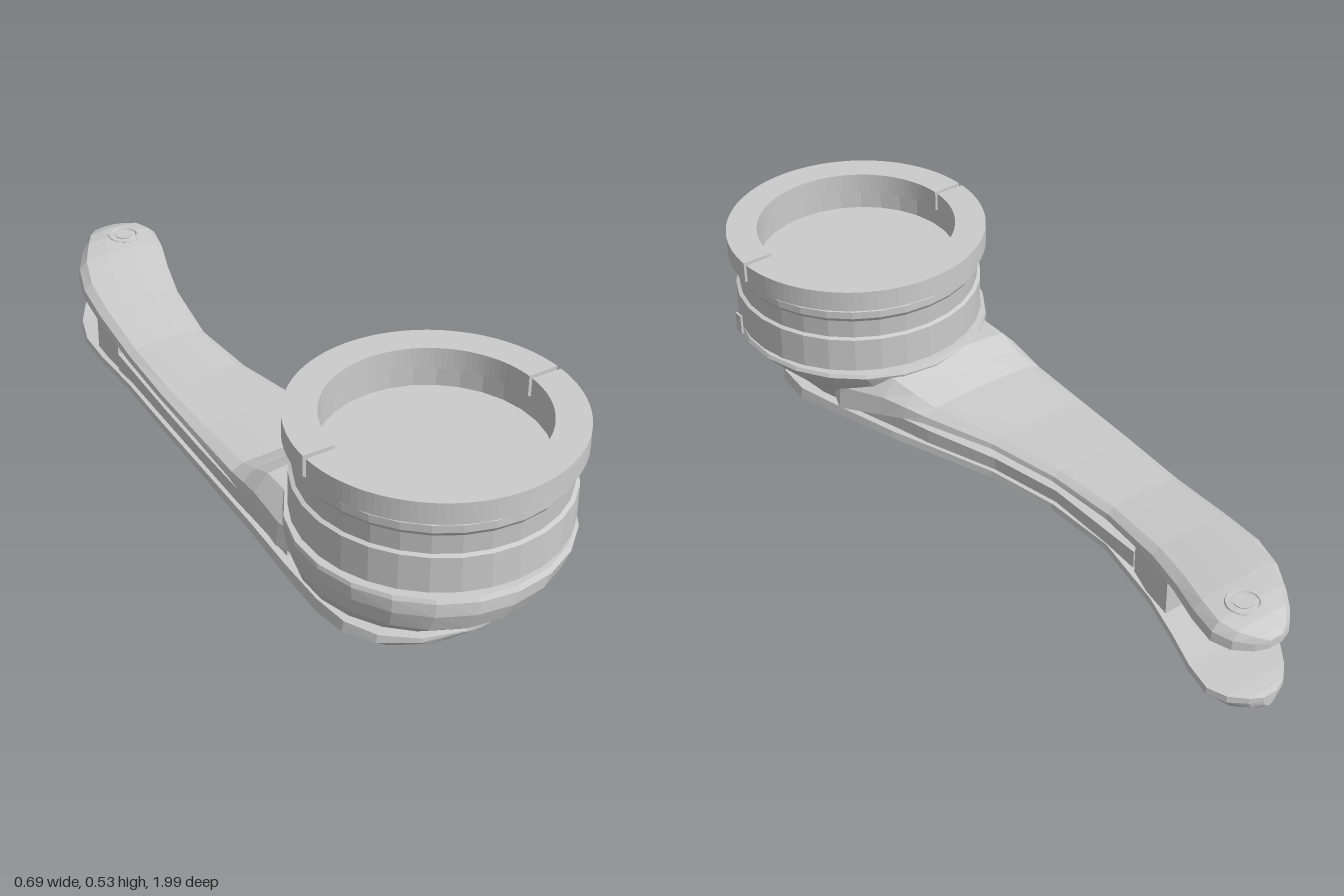
import * as THREE from 'three';

const flat = new THREE.MeshStandardMaterial({ color: 0xcccccc, flatShading: true });
const HEAD_Z = 0.647;

function add(parent, name, geometry, x = 0, y = 0, z = 0) {
  const mesh = new THREE.Mesh(geometry, flat);
  mesh.name = name;
  mesh.position.set(x, y, z);
  parent.add(mesh);
  return mesh;
}

// Sections from the left edge over the crown to the right edge: [across, up]
const ARCH = [[-1, 0], [-0.97, 0.5], [-0.8, 0.9], [-0.3, 1], [0.3, 1], [0.8, 0.9], [0.97, 0.5], [1, 0]];
const KEEL = [[-0.98, 0], [-1, 0.3], [-0.84, 0.62], [-0.45, 0.86], [0, 1], [0.45, 0.9], [0.84, 0.65], [1, 0.3], [0.98, 0]];
const SLAB = [[-1, 0], [-1, 1], [1, 1], [1, 0]];

// Closed loft along -z; stations are [z, left x, right x, edge y, crown y]
function loft(stations, section) {
  const n = section.length, pos = [], index = [];
  const flip = stations[0][4] < stations[0][3];
  const tri = (a, b, c) => (flip ? index.push(a, c, b) : index.push(a, b, c));
  for (const [z, xl, xr, edge, crown] of stations) {
    for (const [u, v] of section) {
      pos.push((xl + xr) / 2 + (u * (xr - xl)) / 2, edge + (crown - edge) * v, z);
    }
  }
  for (let i = 0; i < stations.length - 1; i++) {
    for (let j = 0; j < n; j++) {
      const a = i * n + j, b = i * n + ((j + 1) % n);
      tri(a, b, a + n);
      tri(b, b + n, a + n);
    }
  }
  const last = (stations.length - 1) * n;
  for (let j = 1; j < n - 1; j++) {
    tri(0, j + 1, j);
    tri(last, last + j, last + j + 1);
  }
  const g = new THREE.BufferGeometry();
  g.setAttribute('position', new THREE.Float32BufferAttribute(pos, 3));
  g.setIndex(index);
  g.computeVertexNormals();
  return g;
}

// Stack of offset ellipses, bottom to top: [y, x min, x max, z min, z max]
function ellipseStack(rows, segments) {
  const g = new THREE.LatheGeometry(rows.map((r, i) => new THREE.Vector2(1, i)), segments);
  const p = g.attributes.position;
  for (let i = 0; i < p.count; i++) {
    const [y, x0, x1, z0, z1] = rows[Math.round(p.getY(i))];
    p.setXYZ(i, (x0 + x1) / 2 + (p.getX(i) * (x1 - x0)) / 2, y, (z0 + z1) / 2 + (p.getZ(i) * (z1 - z0)) / 2);
  }
  g.computeVertexNormals();
  return g;
}

// Half of the split clamp ring
function halfRing(inner, outer, height) {
  const gap = 0.02;
  const s = new THREE.Shape();
  s.absarc(0, 0, outer, gap, Math.PI - gap, false);
  s.absarc(0, 0, inner, Math.PI - gap, gap, true);
  const g = new THREE.ExtrudeGeometry(s, { depth: height, bevelEnabled: false, curveSegments: 28 });
  return g.rotateX(-Math.PI / 2);
}

export function createModel() {
  const model = new THREE.Group();
  model.name = 'clampHeadWithHandle';

  // Upper handle shell, rising to the shoulder under the head
  add(model, 'upperHandleShell', loft([
    [0.60, -0.25, 0.15, 0.15, 0.262],
    [0.44, -0.295, 0.215, 0.135, 0.262],
    [0.32, -0.288, 0.16, 0.155, 0.262],
    [0.26, -0.284, 0.135, 0.168, 0.235],
    [0.20, -0.28, 0.11, 0.175, 0.212],
    [0.00, -0.27, 0.04, 0.18, 0.205],
    [-0.20, -0.26, 0.00, 0.18, 0.205],
    [-0.40, -0.245, -0.01, 0.18, 0.21],
    [-0.60, -0.23, 0.02, 0.195, 0.23],
    [-0.72, -0.215, 0.055, 0.205, 0.245],
    [-0.82, -0.18, 0.09, 0.21, 0.258],
    [-0.90, -0.13, 0.108, 0.212, 0.262],
    [-0.95, -0.093, 0.09, 0.21, 0.258],
    [-0.985, -0.055, 0.052, 0.21, 0.248],
    [-1.00, -0.02, 0.02, 0.212, 0.235],
  ], ARCH));

  // Lower handle shell, running under the head to a rounded nose
  add(model, 'lowerHandleShell', loft([
    [0.885, -0.07, 0.02, 0.095, 0.085],
    [0.86, -0.17, 0.10, 0.098, 0.06],
    [0.80, -0.25, 0.17, 0.10, 0.03],
    [0.72, -0.29, 0.215, 0.10, 0.008],
    [0.62, -0.30, 0.225, 0.10, 0.0],
    [0.48, -0.295, 0.19, 0.10, 0.018],
    [0.30, -0.285, 0.145, 0.105, 0.04],
    [0.00, -0.27, 0.04, 0.105, 0.05],
    [-0.20, -0.26, 0.00, 0.105, 0.05],
    [-0.40, -0.245, -0.01, 0.10, 0.05],
    [-0.60, -0.23, 0.02, 0.08, 0.03],
    [-0.72, -0.215, 0.055, 0.07, 0.02],
    [-0.82, -0.18, 0.09, 0.065, 0.012],
    [-0.90, -0.13, 0.108, 0.065, 0.008],
    [-0.95, -0.093, 0.09, 0.065, 0.009],
    [-0.985, -0.055, 0.052, 0.063, 0.014],
    [-1.00, -0.02, 0.02, 0.06, 0.025],
  ], KEEL));

  // Inner core strip between the shells, and the web where the fork begins
  add(model, 'handleCore', loft([
    [0.45, -0.27, 0.16, 0.09, 0.145],
    [0.20, -0.265, 0.095, 0.09, 0.145],
    [0.00, -0.255, 0.025, 0.09, 0.14],
    [-0.20, -0.245, -0.015, 0.09, 0.14],
    [-0.50, -0.225, -0.015, 0.08, 0.14],
  ], SLAB));
  add(model, 'forkWeb', loft([
    [-0.51, -0.22, -0.01, 0.07, 0.20],
    [-0.58, -0.215, 0.01, 0.06, 0.205],
    [-0.66, -0.205, 0.02, 0.06, 0.21],
  ], SLAB));

  // Fastener in the upper fork tip
  const rim = add(model, 'tipHoleRim', new THREE.TorusGeometry(0.04, 0.005, 6, 20), 0, 0.26, -0.89);
  rim.rotation.x = Math.PI / 2;
  add(model, 'tipFastener', new THREE.CylinderGeometry(0.024, 0.024, 0.03, 12), 0, 0.249, -0.89);

  // Bowl under the head, steeper on the right than on the left
  add(model, 'headBowl', ellipseStack([
    [0.10, -0.04, -0.04, 0.6, 0.6],
    [0.10, -0.275, 0.185, 0.36, 0.85],
    [0.14, -0.315, 0.22, 0.34, 0.92],
    [0.18, -0.332, 0.262, 0.32, 0.975],
    [0.225, -0.342, 0.305, 0.305, 0.993],
    [0.258, -0.345, 0.335, 0.30, 0.993],
    [0.268, -0.342, 0.33, 0.305, 0.985],
    [0.268, 0, 0, HEAD_Z, HEAD_Z],
  ], 22));

  // Drum body with a groove below, a step halfway, a lip and a neck on top
  const drum = [[0.30, 0.262], [0.30, 0.278], [0.332, 0.28], [0.332, 0.374], [0.322, 0.378],
    [0.326, 0.43], [0.334, 0.442], [0.334, 0.462], [0.305, 0.468], [0.305, 0.477], [0.27, 0.477], [0.27, 0.42]];
  add(model, 'drumBody', new THREE.LatheGeometry(drum.map(([r, y]) => new THREE.Vector2(r, y)), 30), 0, 0, HEAD_Z);
  add(model, 'faceDisc', new THREE.CylinderGeometry(0.272, 0.272, 0.01, 40), 0, 0.42, HEAD_Z);
  add(model, 'indexTab', new THREE.BoxGeometry(0.006, 0.055, 0.025), 0.331, 0.298, 0.735);

  // Split clamp ring with a cross screw at each side
  for (const side of [0, 1]) {
    const half = add(model, side ? 'frontHalfRing' : 'backHalfRing', halfRing(0.265, 0.347, 0.056), 0, 0.475, HEAD_Z);
    half.rotation.y = side * Math.PI;
    const screw = add(model, side ? 'leftClampScrew' : 'rightClampScrew',
      new THREE.CylinderGeometry(0.02, 0.02, 0.17, 12), side ? 0.313 : -0.313, 0.502, HEAD_Z);
    screw.rotation.x = Math.PI / 2;
  }
  return model;
}
